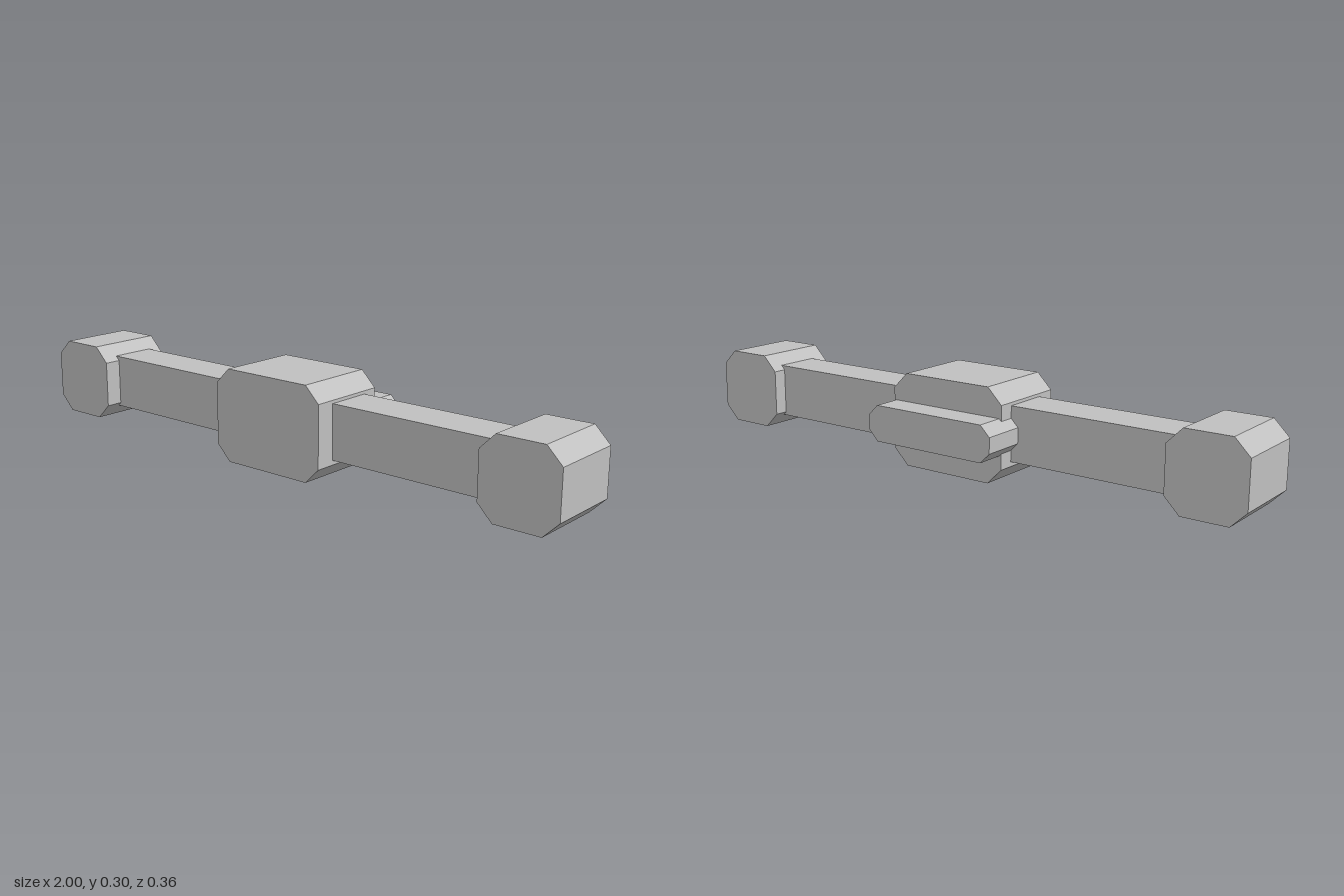
import * as THREE from 'three';

export function createModel() {
  const model = new THREE.Group();
  const grey = new THREE.MeshStandardMaterial({ color: 0xc0c0c0 });
  grey.name = 'plain grey';

  // Block with its four long edges cut off, running along z
  function chamferedBlock(name, x0, x1, y0, y1, z0, z1, cut) {
    const shape = new THREE.Shape([
      [x0 + cut, y0], [x1 - cut, y0], [x1, y0 + cut], [x1, y1 - cut],
      [x1 - cut, y1], [x0 + cut, y1], [x0, y1 - cut], [x0, y0 + cut],
    ].map(([x, y]) => new THREE.Vector2(x, y)));
    const geometry = new THREE.ExtrudeGeometry(shape, { depth: z1 - z0, bevelEnabled: false });
    geometry.translate(0, 0, z0);
    const mesh = new THREE.Mesh(geometry, grey);
    mesh.name = name;
    model.add(mesh);
  }

  // Square bar joining everything
  const bar = new THREE.Mesh(new THREE.BoxGeometry(1.7, 0.175, 0.15), grey);
  bar.name = 'crossBar';
  bar.position.set(0, 0.1525, 0.04);
  model.add(bar);

  // Central housing and the smaller lug behind it
  chamferedBlock('centreBlock', -0.21, 0.205, 0, 0.3, -0.086, 0.18, 0.05);
  chamferedBlock('rearLug', -0.235, 0.23, 0.093, 0.209, -0.18, -0.035, 0.033);

  // End caps
  chamferedBlock('rightEndCap', -1, -0.752, 0.026, 0.276, -0.08, 0.171, 0.05);
  chamferedBlock('leftEndCap', 0.75, 1, 0.026, 0.276, -0.08, 0.171, 0.05);

  return model;
}
